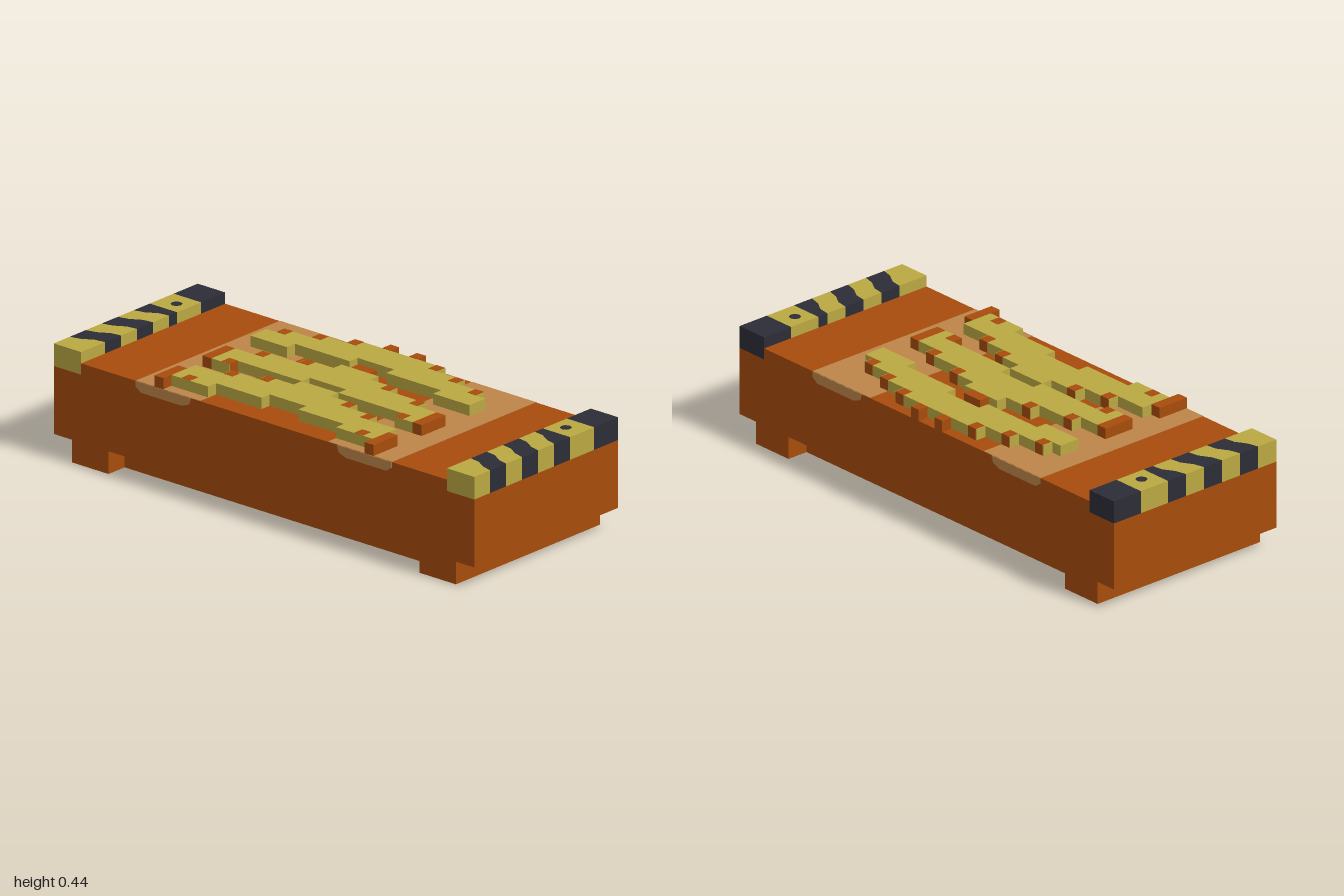
import * as THREE from 'three';

const U = 2 / 46; // one block

const mat = (name, color) => {
  const m = new THREE.MeshStandardMaterial({ color });
  m.name = name;
  return m;
};

export function createModel() {
  const model = new THREE.Group();
  model.name = 'slottedBlock';
  const rust = mat('rust', 0xa84c0c);
  const yellow = mat('yellow', 0xbaa842);
  const dark = mat('charcoal', 0x2d2d37);
  const tan = mat('tan', 0xbd8549);

  // Box given by its block bounds, optionally grown by a small margin
  const box = (name, m, [x0, x1], [y0, y1], [z0, z1], parent = model, grow = 0) => {
    const g = new THREE.BoxGeometry((x1 - x0) * U + grow, (y1 - y0) * U + grow, (z1 - z0) * U + grow);
    const mesh = new THREE.Mesh(g, m);
    mesh.position.set((x0 + x1) / 2 * U, (y0 + y1) / 2 * U, (z0 + z1) / 2 * U);
    mesh.name = name;
    parent.add(mesh);
    return mesh;
  };
  // Both z halves of a row
  const pair = (name, m, x, y, [z0, z1], parent, grow) => {
    box(name, m, x, y, [z0, z1], parent, grow);
    box(name, m, x, y, [-z1, -z0], parent, grow);
  };

  // Body and raised deck
  box('body', rust, [-9, 9], [2, 8], [-23, 23]);
  box('deck', rust, [-9, 9], [8, 9], [-20, 20]);

  // Base: end feet joined by three ribs
  pair('foot', rust, [-9, 9], [0, 2], [17, 21]);
  for (const x of [-6, 0, 6]) box('rib', rust, [x - 1, x + 1], [0, 2], [-17, 17]);

  // Worn tan bands on the deck, lapping over its sides
  const flap = new THREE.Shape([[8, 9], [8.2, 8.4], [9, 8.1], [13.4, 8.1], [14, 8.5], [14, 9]]
    .map(([z, y]) => new THREE.Vector2(z * U, y * U)));
  const flapGeo = new THREE.ExtrudeGeometry(flap, { depth: 0.003, bevelEnabled: false });
  flapGeo.rotateY(-Math.PI / 2); // shape x becomes z, depth becomes -x
  for (const s of [-1, 1]) {
    const band = box('tanBand', tan, [-9, 9], [9, 9.05], s > 0 ? [7, 14] : [-14, -7]);
    band.position.y = 9 * U + 0.0005;
    for (const side of [-1, 1]) {
      const f = new THREE.Mesh(flapGeo, tan);
      f.name = 'tanFlap';
      f.rotation.y = s > 0 ? 0 : Math.PI;
      f.position.x = side * (9 * U + 0.0005) + s * 0.0015;
      model.add(f);
    }
  }

  // Striped end bars: each stripe is a stepped prism
  const outer = [-9, -7, -5, -3, -1, 1, 3, 6, 9];
  const inner = [-9, -6, -4, -2, 0, 2, 3, 6, 9];
  for (const s of [1, -1]) {
    const bar = new THREE.Group();
    bar.name = s > 0 ? 'frontBar' : 'backBar';
    model.add(bar);
    const side = (i) => [[outer[i], 23], [outer[i] + (inner[i] - outer[i]) * 0.25, 22],
      [inner[i] - (inner[i] - outer[i]) * 0.15, 21], [inner[i], 20]];
    for (let i = 0; i < 8; i++) {
      const pts = [...side(i), ...side(i + 1).reverse()]
        .map(([x, z]) => new THREE.Vector2(x * U, -s * z * U));
      const g = new THREE.ExtrudeGeometry(new THREE.Shape(pts), { depth: 2 * U, bevelEnabled: false });
      g.rotateX(-Math.PI / 2);
      const stripe = new THREE.Mesh(g, i % 2 ? dark : yellow);
      stripe.name = 'stripe';
      stripe.position.y = 8 * U;
      bar.add(stripe);
    }
    // Dark fleck on the wide yellow stripe
    const fleck = new THREE.Mesh(new THREE.CylinderGeometry(0.5 * U, 0.5 * U, 0.002, 8), dark);
    fleck.name = 'fleck';
    fleck.position.set(4.4 * U, 10 * U, s * 21.3 * U);
    bar.add(fleck);
  }

  // Three curved ridges: rows as [zFrom, zTo, xFrom, xTo], mirrored in z
  const ridges = [
    {
      rows: [[0, 2, -6, -2], [2, 5, -7, -3], [5, 7, -7, -4], [7, 8, -8, -4], [8, 11, -8, -5]],
      end: [-9, -6],
      chips: [[-5, 7], [-4, 4], [-8, 9]],
    },
    {
      rows: [[0, 2, -1, 3], [2, 5, -2, 2], [5, 9, -2, 1], [9, 11, -3, 0]],
      end: [-3, 0],
      chips: [[0, 8], [1, 4], [-3, 9]],
    },
    {
      rows: [[0, 2, 5, 8], [2, 5, 4, 8], [5, 8, 4, 7], [8, 11, 3, 6], [11, 12, 3, 5]],
      chips: [[5, 10], [6, 7], [7, 4], [8, 1]],
    },
  ];
  const top = [9, 10];
  ridges.forEach(({ rows, end, chips }, i) => {
    const ridge = new THREE.Group();
    ridge.name = ['rightRidge', 'middleRidge', 'leftRidge'][i];
    model.add(ridge);
    for (const [z0, z1, x0, x1] of rows) pair('ridgeRow', yellow, [x0, x1], top, [z0, z1], ridge);
    if (end) pair('ridgeEnd', rust, end, top, [11, 12], ridge);
    // Rust coloured corner blocks
    for (const [x, z] of chips) pair('cornerBlock', rust, [x + 0.05, x + 1], top, [z, z + 0.9], ridge, 0.002);
  });
  box('middleStud', rust, [3, 4], top, [-1, 1]);

  return model;
}
